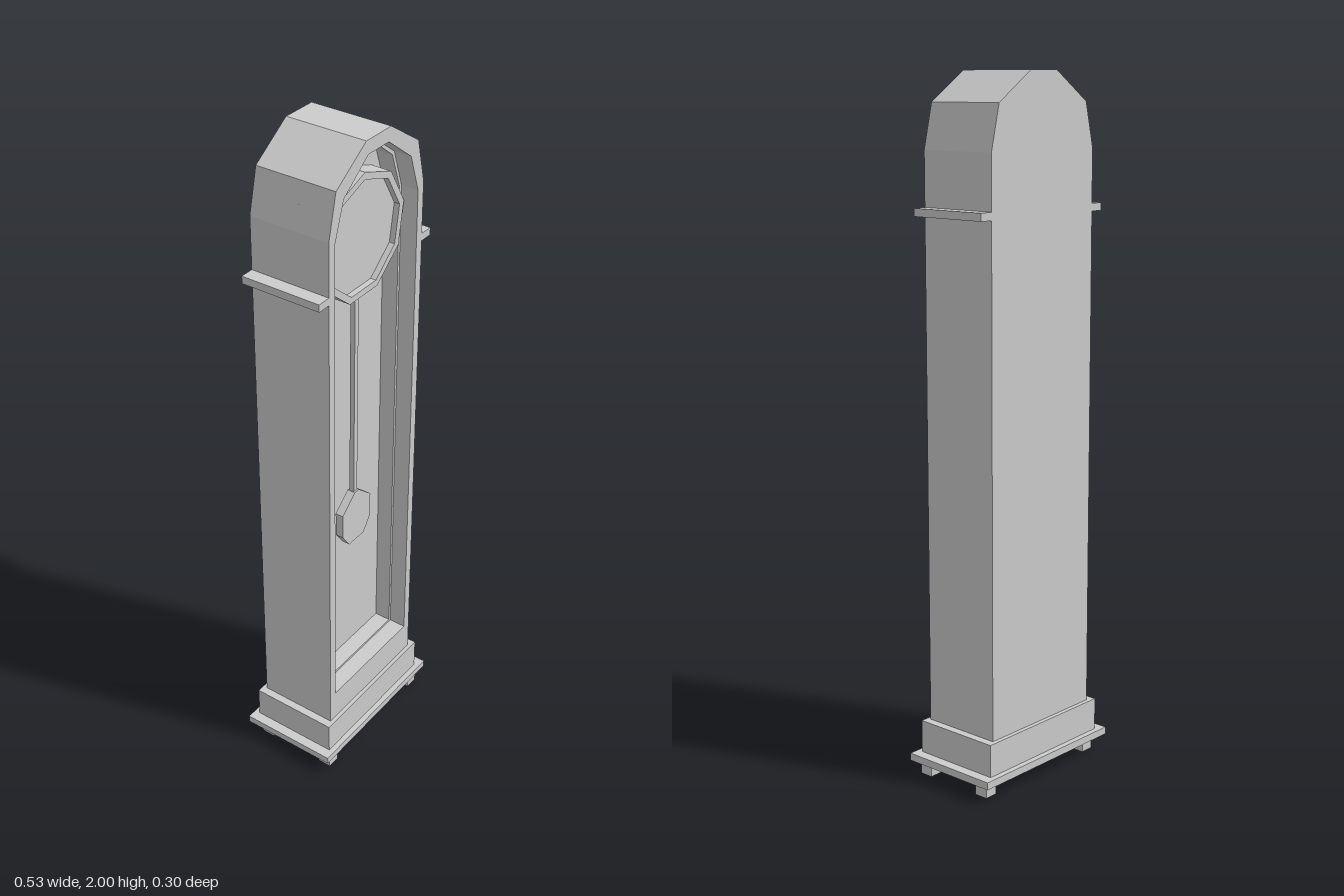
import * as THREE from 'three';

export function createModel() {
  const clock = new THREE.Group();
  clock.name = 'longcaseClock';
  const material = new THREE.MeshStandardMaterial({ color: 0xcccccc, flatShading: true });

  const add = (name, geometry) => {
    const mesh = new THREE.Mesh(geometry, material);
    mesh.name = name;
    clock.add(mesh);
    return mesh;
  };

  // Box given by its limits
  const box = (name, x0, x1, y0, y1, z0, z1) =>
    add(name, new THREE.BoxGeometry(x1 - x0, y1 - y0, z1 - z0))
      .position.set((x0 + x1) / 2, (y0 + y1) / 2, (z0 + z1) / 2);

  // Closed outline from its right half, listed bottom to top
  const mirrored = (half) => {
    const left = half.map(([x, y]) => [-x, y]).reverse();
    return [...half, ...left].map(([x, y]) => new THREE.Vector2(x, y));
  };

  // Flat plate between two depths, with an optional hole
  const plate = (name, outline, z0, z1, hole) => {
    const shape = new THREE.Shape(outline);
    if (hole) shape.holes.push(new THREE.Path(hole));
    const geometry = new THREE.ExtrudeGeometry(shape, { depth: z1 - z0, bevelEnabled: false });
    return add(name, geometry.translate(0, 0, z0));
  };

  // Nine-sided outline with a corner at the top
  const nonagon = (radius, cy) => Array.from({ length: 9 }, (_, i) => {
    const a = Math.PI / 2 + (i * Math.PI * 2) / 9;
    return new THREE.Vector2(radius * Math.cos(a), cy + radius * Math.sin(a));
  });

  // Arched case: solid back, then two frames with a stepped opening
  const caseOutline = mirrored([[0.208, 0.16], [0.208, 1.79], [0.178, 1.916], [0.053, 2]]);
  const innerOpening = mirrored([[0.175, 0.267], [0.175, 1.77], [0.138, 1.876], [0.042, 1.953]]);
  const outerOpening = mirrored([[0.183, 0.26], [0.183, 1.773], [0.146, 1.883], [0.044, 1.961]]);
  plate('caseBack', caseOutline, -0.122, 0.02);
  plate('caseInnerFrame', caseOutline, 0.02, 0.07, innerOpening);
  plate('caseFrontFrame', caseOutline, 0.07, 0.122, outerOpening);

  // Dial and its raised rim
  plate('dial', nonagon(0.165, 1.704), 0.02, 0.065);
  plate('dialRim', nonagon(0.181, 1.704), 0.02, 0.082, nonagon(0.161, 1.704));

  // Pendulum
  box('pendulumRod', -0.008, 0.008, 0.87, 1.56, 0.045, 0.06);
  plate('pendulumBob',
    mirrored([[0.036, 0.71], [0.068, 0.755], [0.068, 0.832], [0.01, 0.882]]), 0.04, 0.065);

  // Plinth
  box('plinth', -0.232, 0.232, 0.065, 0.163, -0.135, 0.134);
  box('basePlate', -0.263, 0.263, 0.045, 0.067, -0.152, 0.151);

  // Side ledges and feet
  for (const side of [-1, 1]) {
    const label = side > 0 ? 'left' : 'right';
    const span = (a, b) => (side > 0 ? [a, b] : [-b, -a]);
    box(`${label}Ledge`, ...span(0.2, 0.249), 1.615, 1.637, -0.122, 0.122);
    box(`${label}FrontFoot`, ...span(0.193, 0.234), 0, 0.046, 0.096, 0.137);
    box(`${label}BackFoot`, ...span(0.193, 0.234), 0, 0.046, -0.12, -0.079);
  }

  return clock;
}
